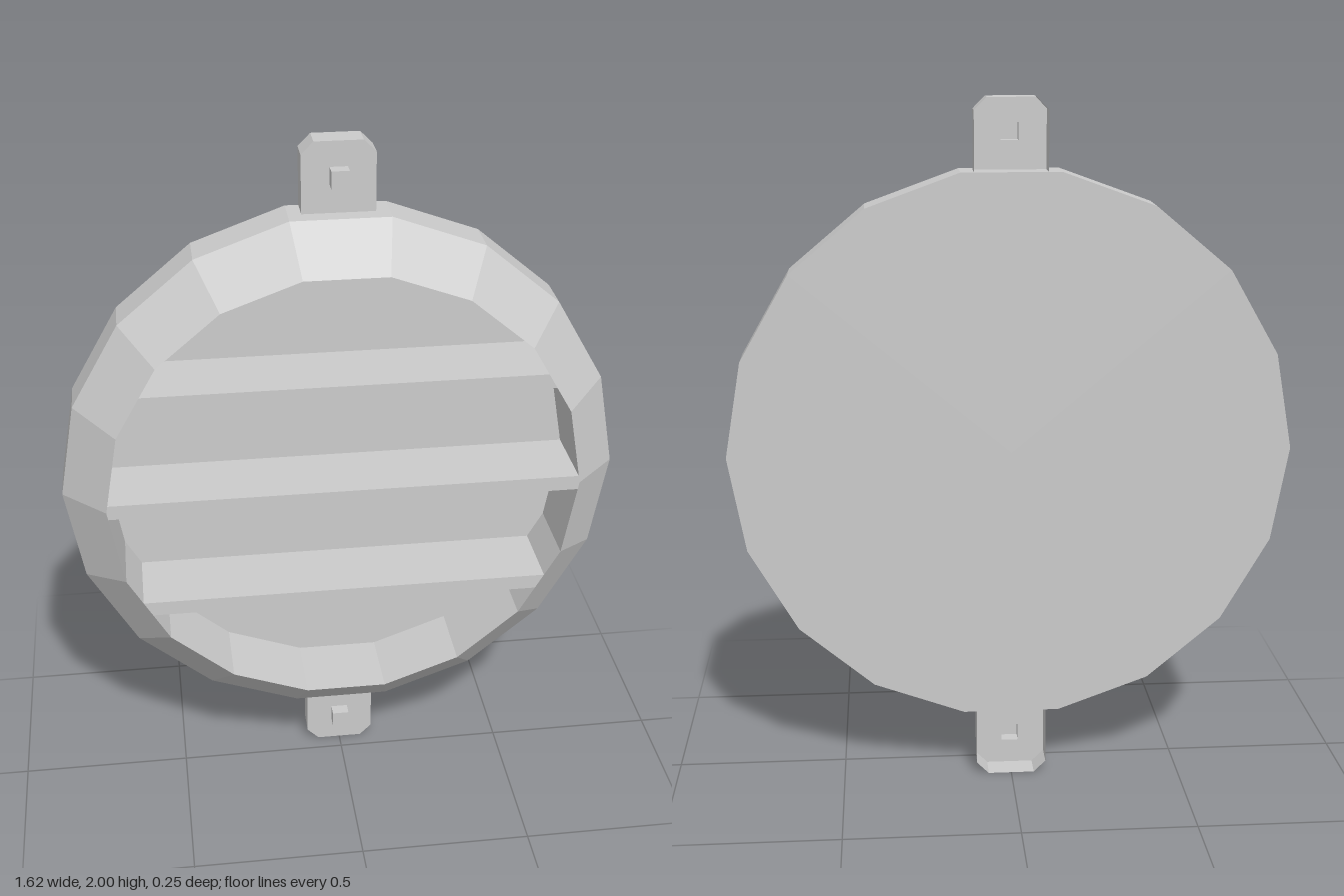
import * as THREE from 'three';
import { mergeGeometries } from 'three/addons/utils/BufferGeometryUtils.js';

const SIDES = 18, R_OUT = 0.81, R_IN = 0.685;
const BACK = -0.125, FLOOR = -0.1, FRONT = 0.125;

const material = new THREE.MeshStandardMaterial({ color: 0xcccccc, flatShading: true });
const shellMaterial = new THREE.MeshStandardMaterial({
  color: 0xcccccc, flatShading: true, side: THREE.DoubleSide,
});

function addMesh(parent, name, geometry, mat = material) {
  const mesh = new THREE.Mesh(geometry, mat);
  mesh.name = name;
  parent.add(mesh);
  return mesh;
}

const toShape = (pts) => new THREE.Shape(pts.map(([x, y]) => new THREE.Vector2(x, y)));

// Half the width of the inner 18-sided opening at height y from its centre
function halfWidth(y) {
  const step = (Math.PI * 2) / SIDES;
  const h = Math.abs(y);
  const k = Math.floor(Math.asin(h / R_IN) / step);
  const a = k * step, b = a + step;
  const t = (h / R_IN - Math.sin(a)) / (Math.sin(b) - Math.sin(a));
  return R_IN * THREE.MathUtils.lerp(Math.cos(a), Math.cos(b), t);
}

// Thin shell open at the back: front panel plus walls along a counterclockwise outline
function openShell(outline, zBack, zFront, hole, closed) {
  const shape = toShape(outline);
  if (hole) shape.holes.push(toShape(hole));
  const panel = new THREE.ShapeGeometry(shape).toNonIndexed();
  panel.translate(0, 0, zFront);
  panel.deleteAttribute('uv');
  panel.deleteAttribute('normal');

  const verts = [];
  const count = closed ? outline.length : outline.length - 1;
  for (let i = 0; i < count; i++) {
    const [ax, ay] = outline[i];
    const [bx, by] = outline[(i + 1) % outline.length];
    verts.push(ax, ay, zBack, bx, by, zBack, bx, by, zFront);
    verts.push(ax, ay, zBack, bx, by, zFront, ax, ay, zFront);
  }
  const walls = new THREE.BufferGeometry();
  walls.setAttribute('position', new THREE.Float32BufferAttribute(verts, 3));

  const geometry = mergeGeometries([panel, walls]);
  geometry.computeVertexNormals();
  return geometry;
}

// Mounting tab with a hollow square peg, pointing up from the housing centre
function makeTab(name) {
  const tab = new THREE.Group();
  tab.name = name;
  const w = 0.103, c = 0.035, top = 1, base = 0.797, p = 0.025, py = 0.903;
  const outline = [[w, base], [w, top - c], [w - c, top], [c - w, top], [-w, top - c], [-w, base]];
  const square = [[-p, py - p], [p, py - p], [p, py + p], [-p, py + p]];
  addMesh(tab, 'tabPlate', openShell(outline, BACK, -0.05, square, false), shellMaterial);
  addMesh(tab, 'tabPeg', openShell(square, -0.05, -0.012, null, true), shellMaterial);
  return tab;
}

export function createModel() {
  const model = new THREE.Group();
  model.name = 'roundVent';
  const body = new THREE.Group();
  body.name = 'body';
  body.position.y = 1;
  model.add(body);

  // Dish-shaped housing with a bevelled front rim
  const profile = [
    [0, BACK], [R_OUT, BACK], [R_OUT, 0], [R_IN, FRONT], [R_IN, FLOOR], [0, FLOOR],
  ].map(([r, z]) => new THREE.Vector2(r, z));
  const housing = new THREE.LatheGeometry(profile, SIDES, Math.PI / 2);
  housing.rotateX(Math.PI / 2);
  addMesh(body, 'housing', housing);

  // Horizontal slats, trimmed to the opening
  [0.335, 0, -0.335].forEach((y, i) => {
    const lo = y - 0.022, hi = y + 0.022;
    const levels = y === 0 ? [lo, 0, hi] : [lo, hi];
    const right = levels.map((h) => [halfWidth(h), h]);
    const left = levels.map((h) => [-halfWidth(h), h]).reverse();
    const slat = new THREE.ExtrudeGeometry(toShape([...right, ...left]), {
      depth: FRONT - FLOOR, bevelEnabled: false,
    });
    slat.translate(0, 0, FLOOR);
    addMesh(body, `slat${i + 1}`, slat);
  });

  // Tabs above and below
  body.add(makeTab('topTab'));
  const bottomTab = makeTab('bottomTab');
  bottomTab.rotation.z = Math.PI;
  body.add(bottomTab);

  return model;
}
